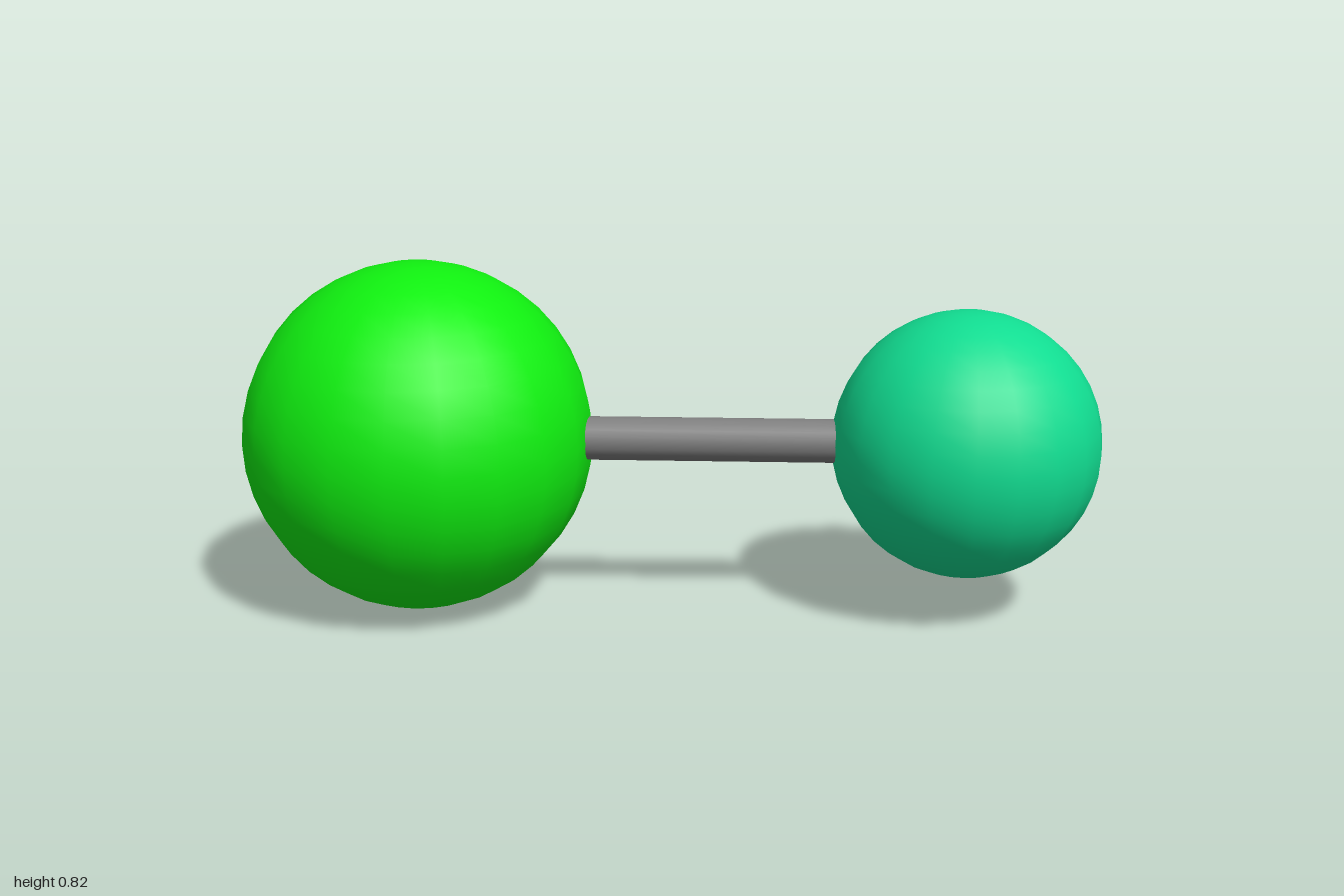
import * as THREE from 'three';

const CENTER_Y = 0.412;

function addPart(group, name, geometry, color) {
  const mesh = new THREE.Mesh(geometry, new THREE.MeshStandardMaterial({ color }));
  mesh.name = name;
  group.add(mesh);
  return mesh;
}

export function createModel() {
  const model = new THREE.Group();
  model.name = 'ballAndStickMolecule';

  // Two atoms, the larger on the model's right
  addPart(model, 'largeAtom', new THREE.SphereGeometry(0.41, 20, 20), 0x10f010)
    .position.set(-0.59, CENTER_Y, 0);
  addPart(model, 'smallAtom', new THREE.SphereGeometry(0.311, 20, 20), 0x11dd91)
    .position.set(0.689, CENTER_Y, 0);

  // Bond rod, slightly skewed in plan, with its ends buried in the atoms
  const start = new THREE.Vector3(-0.3, CENTER_Y + 0.001, 0.014);
  const end = new THREE.Vector3(0.5, CENTER_Y + 0.001, 0);
  const axis = end.clone().sub(start);
  const rod = addPart(model, 'bondRod', new THREE.CylinderGeometry(0.051, 0.051, axis.length(), 20), 0x7f7f7f);
  rod.position.copy(start).add(end).multiplyScalar(0.5);
  rod.quaternion.setFromUnitVectors(new THREE.Vector3(0, 1, 0), axis.normalize());

  return model;
}
